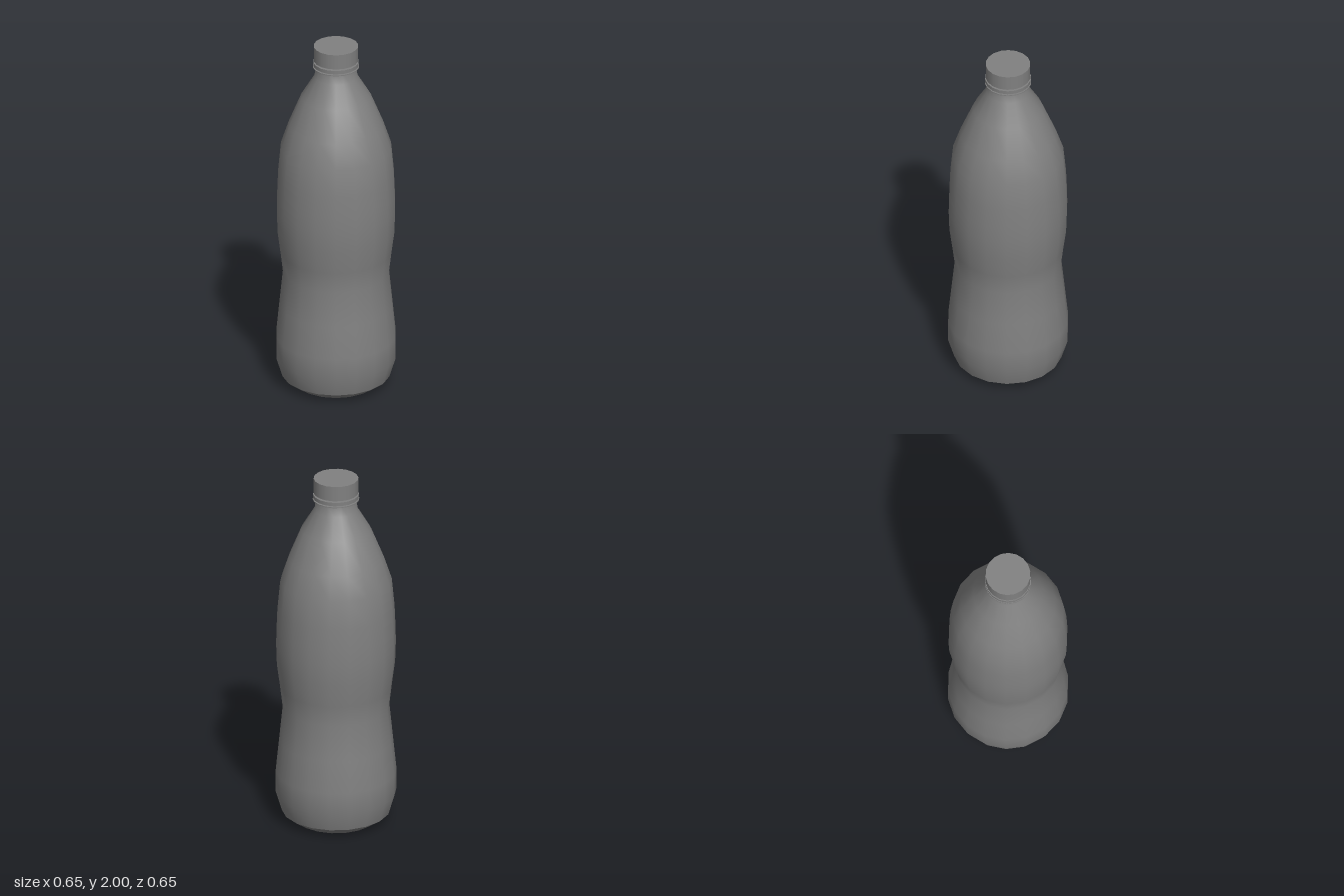
import * as THREE from 'three';

const SIDES = 18;
const TURN = 0.083; // slight twist of the facets about the vertical axis

export function createModel() {
  const model = new THREE.Group();
  const material = new THREE.MeshStandardMaterial({ color: 0x808080, side: THREE.DoubleSide });

  // Lathe from [radius, height] pairs listed from bottom to top along the outside
  function turned(name, profile) {
    const points = profile.map(([r, y]) => new THREE.Vector2(r, y));
    const mesh = new THREE.Mesh(new THREE.LatheGeometry(points, SIDES, TURN), material);
    mesh.name = name;
    model.add(mesh);
  }

  // Closed disc-like part with sharp rims
  function disc(name, radius, bottom, top) {
    const mesh = new THREE.Mesh(
      new THREE.CylinderGeometry(radius, radius, top - bottom, SIDES, 1, false, TURN), material);
    mesh.position.y = (bottom + top) / 2;
    mesh.name = name;
    model.add(mesh);
  }

  // Smooth body with a gripping waist and long shoulder
  turned('body', [
    [0.293, 0.05], [0.326, 0.16], [0.326, 0.28], [0.308, 0.46], [0.288, 0.66],
    [0.302, 0.78], [0.319, 0.91], [0.323, 1.03], [0.321, 1.12], [0.316, 1.24],
    [0.301, 1.4], [0.258, 1.53], [0.189, 1.7], [0.117, 1.82], [0.108, 1.88],
  ]);

  // Base: sloped edge, flat foot and hollow underside
  turned('baseSlope', [[0.22, 0], [0.293, 0.05]]);
  turned('foot', [[0.17, 0], [0.22, 0]]);
  turned('baseHollow', [[0, 0.09], [0.05, 0.08], [0.17, 0]]);

  // Neck flange, then seal ring and cap, each set off by a thin open gap
  disc('neckFlange', 0.126, 1.877, 1.882);
  disc('sealRing', 0.124, 1.888, 1.908);
  disc('cap', 0.121, 1.916, 2);

  return model;
}
